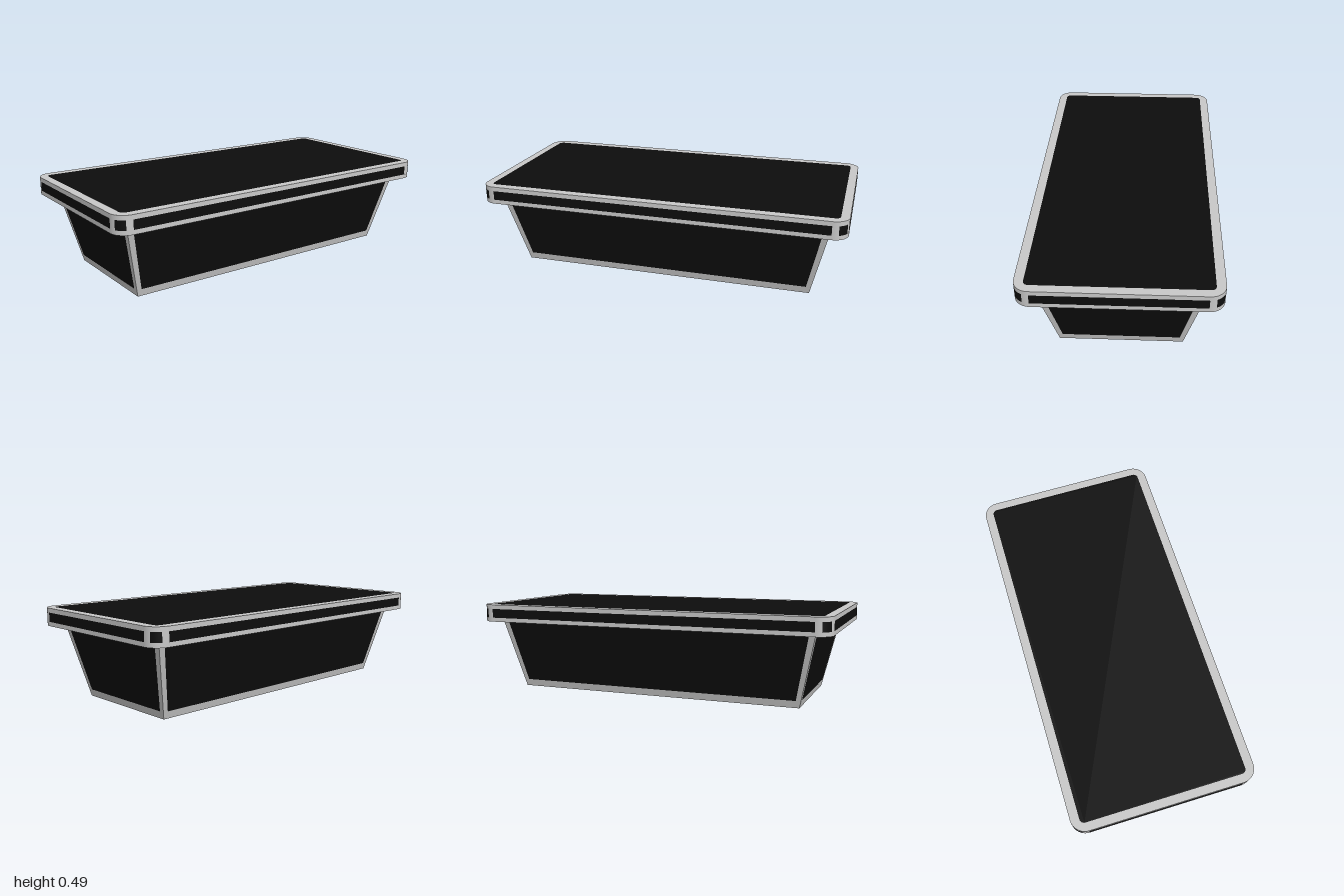
import * as THREE from 'three';

const silver = new THREE.MeshStandardMaterial({ name: 'silver trim', color: 0xc8c8c8 });
const black = new THREE.MeshStandardMaterial({ name: 'black panel', color: 0x0d0d0d });

const TOP = 0.493, UNDER = 0.396;            // slab heights
const HX = 0.5, HZ = 1, R = 0.08;            // slab half sizes and corner radius
const BX = 0.32, BZ = 0.82, FLARE = 0.09;    // base half sizes at the floor, outward flare

function build(positions, indices, normals) {
  const g = new THREE.BufferGeometry();
  g.setAttribute('position', new THREE.Float32BufferAttribute(positions, 3));
  g.setIndex(indices);
  if (normals) g.setAttribute('normal', new THREE.Float32BufferAttribute(normals, 3));
  else g.computeVertexNormals();
  return g;
}

function add(parent, name, geometry, material) {
  const mesh = new THREE.Mesh(geometry, material);
  mesh.name = name;
  parent.add(mesh);
}

function roundedRect(hx, hz, r) {
  const s = new THREE.Shape();
  for (let k = 0; k < 4; k++) {
    const cx = (k === 0 || k === 3 ? 1 : -1) * (hx - r);
    const cy = (k < 2 ? 1 : -1) * (hz - r);
    s.absarc(cx, cy, r, k * Math.PI / 2, (k + 1) * Math.PI / 2, false);
  }
  s.closePath();
  return s;
}

// Points with outward normals along the corner k of the slab, between two angles in degrees
function cornerPath(k, from, to) {
  const cx = (k === 0 || k === 3 ? 1 : -1) * (HX - R);
  const cz = (k < 2 ? 1 : -1) * (HZ - R);
  const steps = Math.max(2, Math.round((to - from) / 6));
  return Array.from({ length: steps + 1 }, (_, i) => {
    const a = THREE.MathUtils.degToRad(k * 90 + from + (to - from) * i / steps);
    const nx = Math.cos(a), nz = Math.sin(a);
    return { x: cx + R * nx, z: cz + R * nz, nx, nz };
  });
}

// Upright ribbon along a path
function wall(path, y0, y1) {
  const pos = [], nor = [], idx = [];
  path.forEach((p, i) => {
    pos.push(p.x, y0, p.z, p.x, y1, p.z);
    nor.push(p.nx, 0, p.nz, p.nx, 0, p.nz);
    if (i === path.length - 1) return;
    const a = i * 2;
    idx.push(a + 2, a, a + 1, a + 2, a + 1, a + 3);
  });
  return build(pos, idx, nor);
}

function makeSlab() {
  const slab = new THREE.Group();
  slab.name = 'slab';
  const bandLow = 0.419, bandHigh = 0.469;

  // Top face: silver border around a black panel, and a black underside
  const border = roundedRect(HX, HZ, R);
  border.holes.push(roundedRect(0.452, 0.955, 0.025));
  add(slab, 'topBorder', new THREE.ShapeGeometry(border, 12).rotateX(-Math.PI / 2).translate(0, TOP, 0), silver);
  add(slab, 'topPanel', new THREE.ShapeGeometry(roundedRect(0.452, 0.955, 0.025), 12)
    .rotateX(-Math.PI / 2).translate(0, TOP, 0), black);
  add(slab, 'underside', new THREE.ShapeGeometry(roundedRect(HX, HZ, R), 12)
    .rotateX(Math.PI / 2).translate(0, UNDER, 0), black);

  // Silver edge rails above and below the inlays
  const outline = [0, 1, 2, 3, 0].flatMap((k, i) => cornerPath(k, 0, i === 4 ? 0.01 : 90));
  add(slab, 'lowerRail', wall(outline, UNDER, bandLow), silver);
  add(slab, 'upperRail', wall(outline, bandHigh, TOP), silver);

  // Black inlays on the corners and straight edges, with silver spacers
  for (let k = 0; k < 4; k++) {
    add(slab, 'cornerSpacer', wall(cornerPath(k, 0, 25), bandLow, bandHigh), silver);
    add(slab, 'cornerInlay', wall(cornerPath(k, 25, 65), bandLow, bandHigh), black);
    add(slab, 'cornerSpacer', wall(cornerPath(k, 65, 90), bandLow, bandHigh), silver);
    const straight = [cornerPath(k, 0, 90).at(-1), cornerPath((k + 1) % 4, 0, 90)[0]];
    add(slab, 'edgeInlay', wall(straight, bandLow, bandHigh), black);
  }
  return slab;
}

function makeBase() {
  const base = new THREE.Group();
  base.name = 'base';
  const sill = 0.039;

  for (let k = 0; k < 4; k++) {
    const [half, depth] = k % 2 ? [BZ, BX] : [BX, BZ];
    const side = new THREE.Group();
    side.name = 'baseSide';
    side.rotation.y = k * Math.PI / 2;
    const flare = y => FLARE * y / UNDER;
    const edge = y => half + flare(y);
    // Four-cornered face on the sloping side, given counter-clockwise as [u, y]
    const quad = corners => build(
      corners.flatMap(([u, y]) => [u, y, depth + flare(y)]), [0, 1, 2, 0, 2, 3]);

    const low = half - 0.018, high = half + 0.057;
    add(side, 'sidePanel', quad([[-low, sill], [low, sill], [high, UNDER], [-high, UNDER]]), black);
    add(side, 'bottomRail', quad([[-half, 0], [half, 0], [edge(sill), sill], [-edge(sill), sill]]), silver);
    add(side, 'cornerPost', quad([[low, sill], [edge(sill), sill], [edge(UNDER), UNDER], [high, UNDER]]), silver);
    add(side, 'cornerPost', quad([[-edge(sill), sill], [-low, sill], [-high, UNDER], [-edge(UNDER), UNDER]]), silver);
    base.add(side);
  }

  add(base, 'floorPanel', new THREE.PlaneGeometry(BX * 2, BZ * 2).rotateX(Math.PI / 2), black);
  return base;
}

export function createModel() {
  const model = new THREE.Group();
  model.name = 'table';
  model.add(makeSlab(), makeBase());
  return model;
}
